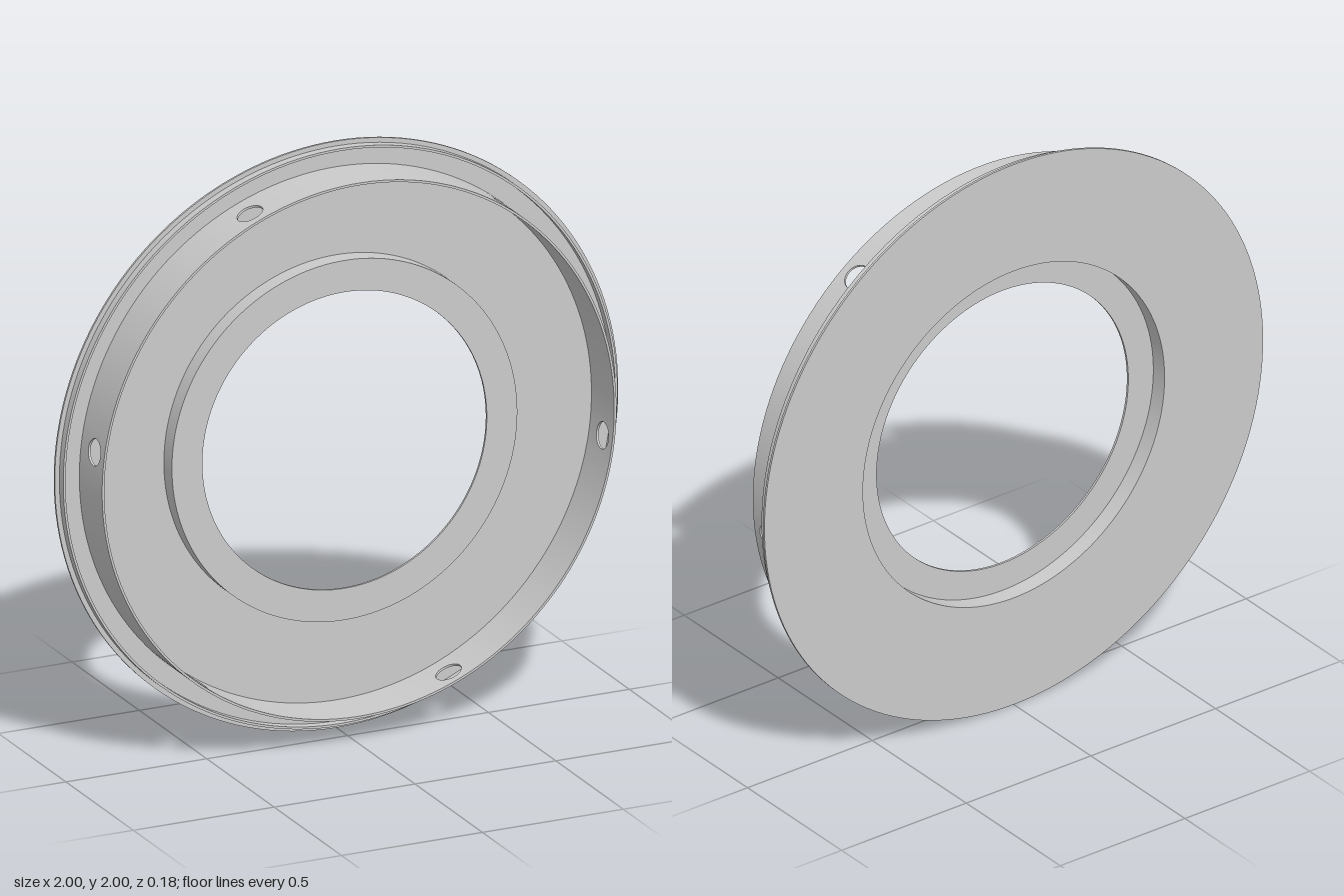
import * as THREE from 'three';
import { toCreasedNormals } from 'three/addons/utils/BufferGeometryUtils.js';

const T = 0.008;                         // sheet thickness
const BACK = -0.09, FLOOR = BACK + T, FRONT = 0.087;
const WALL_IN = 0.905, HOLE_R = 0.044, HOLE_Z = 0.015;
const HOLES = 6, FIRST = -0.125, HALF = 0.065; // hole angles and half patch width (radians)

const material = new THREE.MeshStandardMaterial({ color: 0xcccccc });

function addMesh(parent, name, geometry) {
  const mesh = new THREE.Mesh(geometry, material);
  mesh.name = name;
  parent.add(mesh);
}

// Revolve a closed counter-clockwise (radius, z) profile about the z axis
function revolve(profile, segments = 160, start = 0, sweep = Math.PI * 2) {
  const points = [...profile, profile[0]].map(([r, z]) => new THREE.Vector2(r, z));
  const geometry = new THREE.LatheGeometry(points, segments, start + Math.PI / 2, sweep);
  geometry.rotateX(Math.PI / 2);
  return toCreasedNormals(geometry, 0.6);
}

const band = (rIn, z0, z1) => [[rIn, z0], [rIn + T, z0], [rIn + T, z1], [rIn, z1]];

// Flat plate with a round hole, bent around the z axis
function drilledPatch(angle) {
  const w = HALF * WALL_IN, steps = 6, outline = [];
  for (let i = 0; i <= steps; i++) outline.push(new THREE.Vector2(-w + (2 * w * i) / steps, FLOOR));
  for (let i = 0; i <= steps; i++) outline.push(new THREE.Vector2(w - (2 * w * i) / steps, FRONT));
  const shape = new THREE.Shape(outline);
  shape.holes.push(new THREE.Path().absarc(0, HOLE_Z, HOLE_R, 0, Math.PI * 2, true));
  const geometry = new THREE.ExtrudeGeometry(shape, { depth: T, bevelEnabled: false, curveSegments: 16 });
  const { position: p, normal: n } = geometry.attributes;
  for (let i = 0; i < p.count; i++) {
    const a = angle + p.getX(i) / WALL_IN, r = WALL_IN + p.getZ(i);
    const c = Math.cos(a), s = Math.sin(a);
    const nu = n.getX(i), nv = n.getY(i), nr = n.getZ(i);
    p.setXYZ(i, r * c, r * s, p.getY(i));
    n.setXYZ(i, nr * c - nu * s, nr * s + nu * c, nv);
  }
  return geometry;
}

export function createModel() {
  const group = new THREE.Group();
  group.name = 'flangedRing';

  // Back plate with a raised collar around the central opening
  addMesh(group, 'backPlate', revolve([
    [0.605, BACK], [1, BACK], [1, FLOOR], [0.605 + T, FLOOR],
    [0.605 + T, -0.022], [0.505, -0.022], [0.505, -0.022 - T], [0.605, -0.022 - T],
  ]));

  // Low lip just inside the plate's edge
  addMesh(group, 'outerLip', revolve(band(0.976, FLOOR, -0.053)));

  // Tall wall: drilled patches joined by plain arcs
  const wall = new THREE.Group();
  wall.name = 'wall';
  group.add(wall);
  const step = (Math.PI * 2) / HOLES;
  for (let i = 0; i < HOLES; i++) {
    const angle = FIRST + i * step;
    addMesh(wall, 'wallHole', drilledPatch(angle));
    addMesh(wall, 'wallArc', revolve(band(WALL_IN, FLOOR, FRONT), 24, angle + HALF, step - 2 * HALF));
  }

  group.position.y = 1;
  const root = new THREE.Group();
  root.add(group);
  return root;
}
